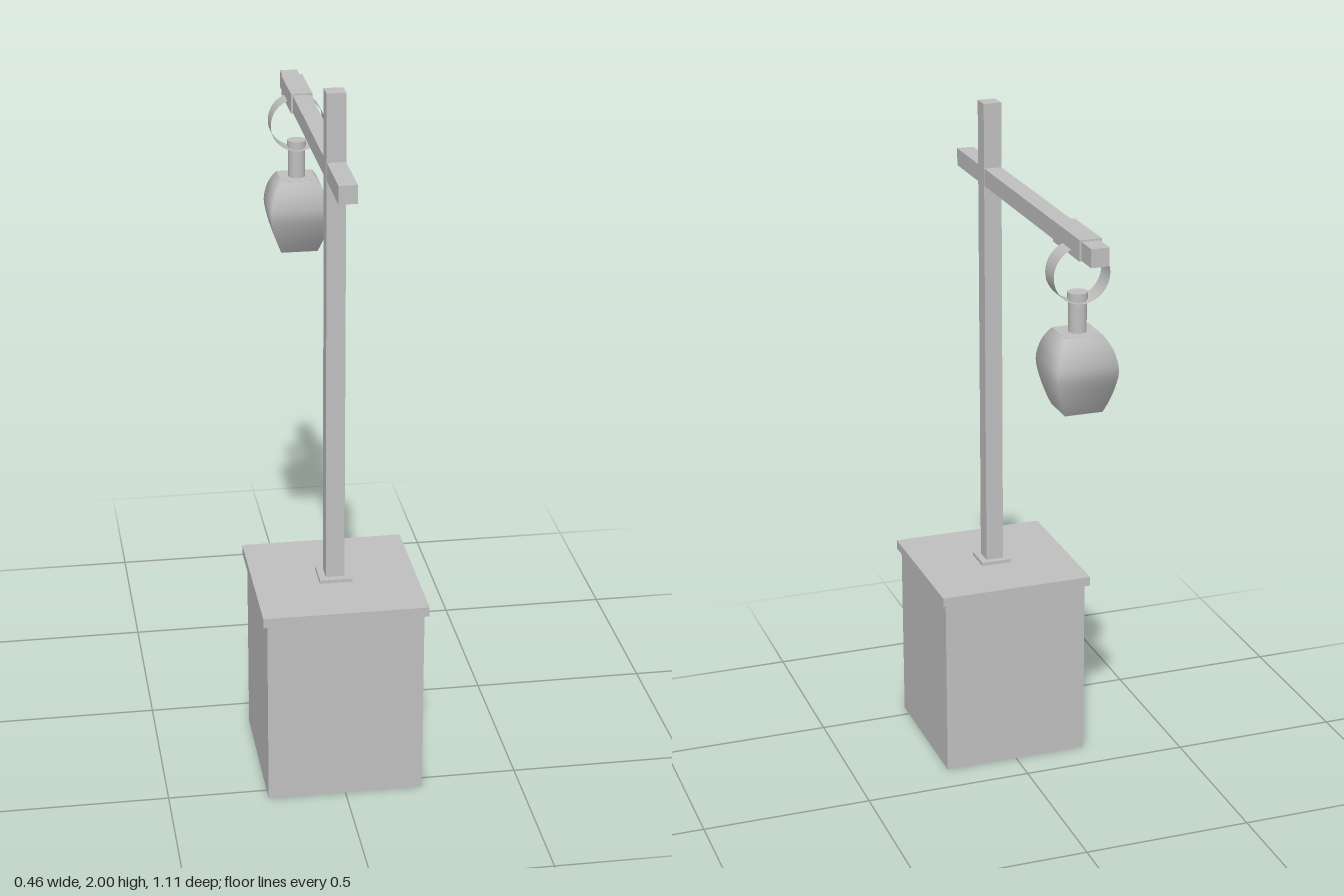
import * as THREE from 'three';

export function createModel() {
  const model = new THREE.Group();
  model.name = 'hangingLanternPost';

  const grey = new THREE.MeshStandardMaterial({ color: 0xbfbfbf });
  grey.name = 'grey';
  const greyBand = new THREE.MeshStandardMaterial({ color: 0xbfbfbf, side: THREE.DoubleSide });
  greyBand.name = 'grey open band';

  const add = (name, geometry, x, y, z, material = grey) => {
    const mesh = new THREE.Mesh(geometry, material);
    mesh.name = name;
    mesh.position.set(x, y, z);
    model.add(mesh);
    return mesh;
  };
  // Box given by its width, vertical span and depth span
  const box = (name, w, y0, y1, z0, z1) =>
    add(name, new THREE.BoxGeometry(w, y1 - y0, z1 - z0), 0, (y0 + y1) / 2, (z0 + z1) / 2);

  // Pedestal and post
  box('pedestal', 0.44, 0, 0.55, 0.105, 0.545);
  box('pedestalSlab', 0.464, 0.55, 0.578, 0.09, 0.554);
  box('postFoot', 0.092, 0.578, 0.588, 0.276, 0.368);
  box('post', 0.053, 0.588, 2, 0.295, 0.348);

  // Cross beam with the clip that wraps its far end
  box('beam', 0.051, 1.76, 1.811, -0.555, 0.543);
  box('beamClip', 0.062, 1.758, 1.816, -0.485, -0.287);

  // Thin hanging ring
  const lampZ = -0.392;
  const ring = add('hangingRing',
    new THREE.CylinderGeometry(0.08, 0.08, 0.066, 40, 1, true), 0, 1.7, lampZ, greyBand);
  ring.rotation.x = Math.PI / 2;

  // Stem with a small head inside the ring
  add('lanternStem', new THREE.CylinderGeometry(0.025, 0.025, 0.1, 16), 0, 1.582, lampZ);
  add('stemHead', new THREE.CylinderGeometry(0.028, 0.028, 0.018, 16), 0, 1.637, lampZ);

  // Square bulging lantern body: half widths are scaled to corner radii
  const curve = new THREE.SplineCurve([
    [0.054, 1.317], [0.067, 1.35], [0.08, 1.395], [0.087, 1.44],
    [0.08, 1.482], [0.068, 1.512], [0.053, 1.535],
  ].map(([half, y]) => new THREE.Vector2(half * Math.SQRT2, y)));
  const body = add('lanternBody', new THREE.LatheGeometry(curve.getPoints(16), 4), 0, 0, lampZ);
  body.rotation.y = Math.PI / 4;

  // Flat ends of the lantern
  box('lanternTop', 0.106, 1.531, 1.5355, lampZ - 0.053, lampZ + 0.053);
  box('lanternBottom', 0.108, 1.3165, 1.321, lampZ - 0.054, lampZ + 0.054);

  return model;
}
